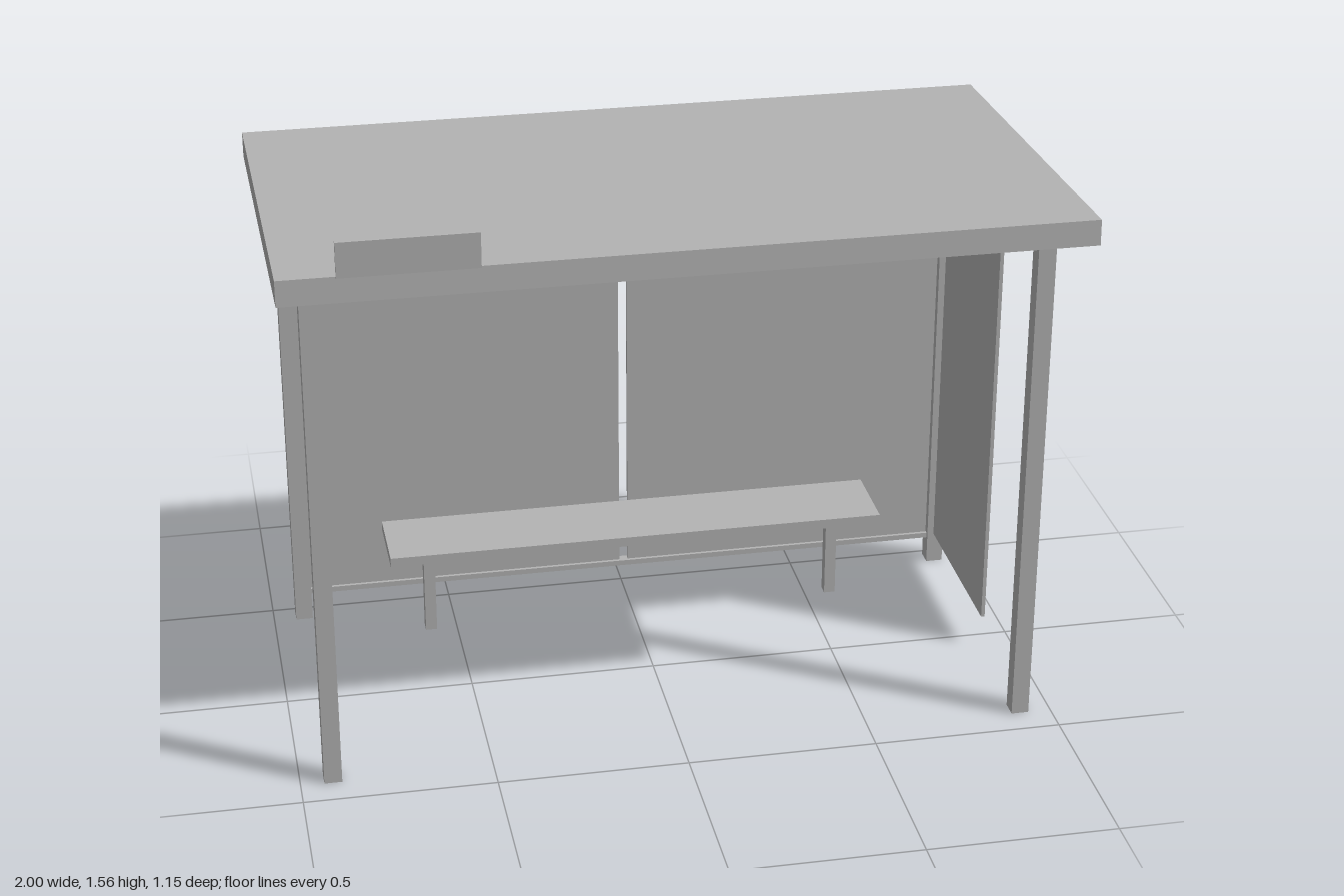
import * as THREE from 'three';

export function createModel() {
  const model = new THREE.Group();
  model.name = 'shelter';

  const grey = new THREE.MeshStandardMaterial({ color: 0xb4b4b4 });
  grey.name = 'grey';

  // Box given by its extents on each axis
  function block(name, [x0, x1], [y0, y1], [z0, z1], parent = model) {
    const mesh = new THREE.Mesh(new THREE.BoxGeometry(x1 - x0, y1 - y0, z1 - z0), grey);
    mesh.position.set((x0 + x1) / 2, (y0 + y1) / 2, (z0 + z1) / 2);
    mesh.name = name;
    parent.add(mesh);
    return mesh;
  }
  const around = (centre, size) => [centre - size / 2, centre + size / 2];

  const postX = 0.916, post = 0.046, frontZ = 0.399, backZ = -0.46;

  // Roof slab, sloping down to the back
  const roof = block('roof', [-1, 1], around(1.409, 0.066), around(-0.004, 1.14));
  roof.rotation.x = -0.051;

  // Sign standing on the front edge of the roof
  block('sign', [-0.858, -0.517], [1.472, 1.562], [0.569, 0.578]);

  // Bench seat
  const bench = new THREE.Group();
  bench.name = 'bench';
  model.add(bench);
  block('seat', [-0.687, 0.687], [0.26, 0.287], around(-0.327, 0.22), bench);

  for (const side of [-1, 1]) {
    const label = side > 0 ? 'left' : 'right';
    // Posts
    block(label + 'FrontPost', around(side * postX, post), [0, 1.372], around(frontZ, post));
    block(label + 'BackPost', around(side * postX, post), [0, 1.354], around(backZ, post));
    // Back wall panel, leaving a narrow slot in the middle
    block(label + 'BackPanel', around(side * 0.452, 0.88), [0.088, 1.29], around(backZ, 0.01));
    // Bench leg
    block(label + 'BenchLeg', around(side * 0.572, 0.031), [0, 0.26], around(-0.327, 0.031), bench);
  }

  // Rails above and below the back panels
  block('topRail', [-0.893, 0.893], [1.289, 1.304], around(backZ, 0.028));
  block('bottomRail', [-0.893, 0.893], [0.074, 0.089], around(backZ, 0.028));

  // Single side wall on the model's left
  block('sidePanel', around(postX, 0.01), [0.089, 1.289], [-0.437, 0.056]);

  return model;
}
